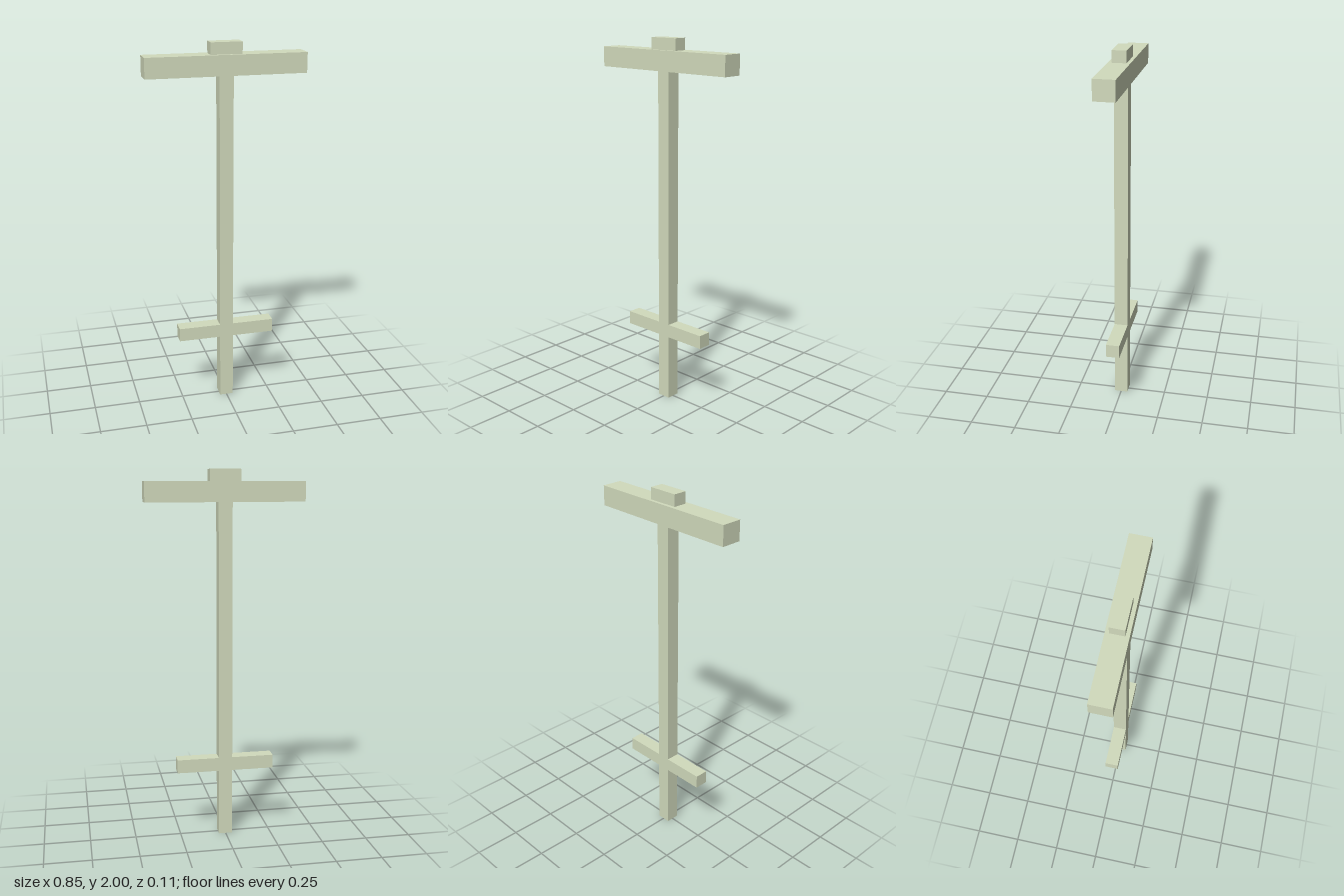
import * as THREE from 'three';

export function createModel() {
  const model = new THREE.Group();
  const material = new THREE.MeshStandardMaterial({ color: 0xd2dbbd, flatShading: true });

  // Box given by its x range, y range and depth, centred on z = 0
  function addBox(name, [x0, x1], [y0, y1], depth) {
    const mesh = new THREE.Mesh(new THREE.BoxGeometry(x1 - x0, y1 - y0, depth), material);
    mesh.position.set((x0 + x1) / 2, (y0 + y1) / 2, 0);
    mesh.name = name;
    model.add(mesh);
  }

  const half = 0.037; // half thickness of the pole and its pegs

  // Upright pole, running up to the underside of the crossbar
  addBox('pole', [-half, half], [0, 1.832], half * 2);

  // Foot pegs, flush with the pole front and back
  addBox('leftPeg', [half, 0.267], [0.37, 0.444], half * 2);
  addBox('rightPeg', [-0.267, -half], [0.37, 0.444], half * 2);

  // Thick crossbar with a small cap on top
  addBox('crossbar', [-0.423, 0.423], [1.832, 1.938], 0.112);
  addBox('cap', [-0.083, 0.083], [1.938, 2], half * 2);

  return model;
}
